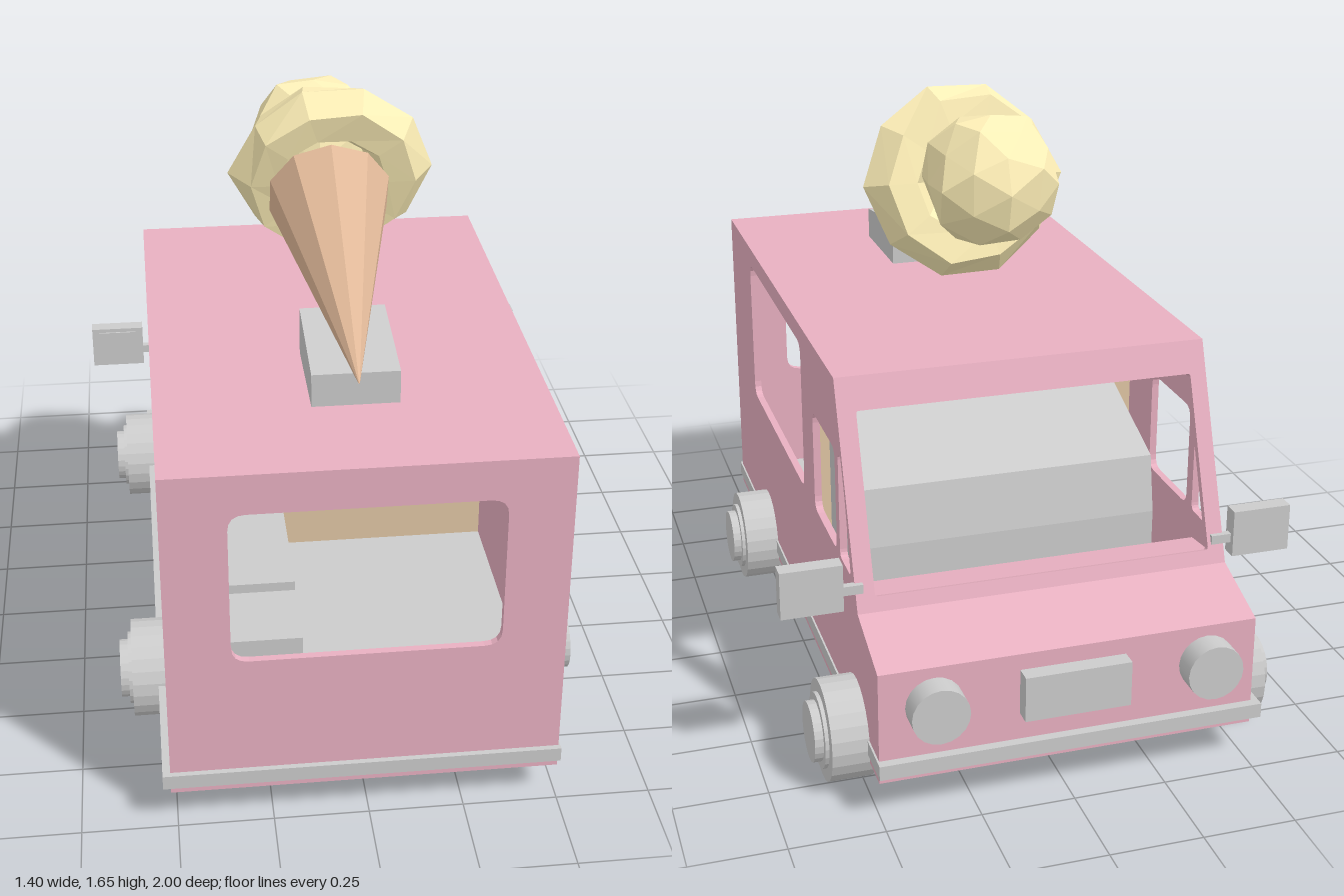
import * as THREE from 'three';

const mat = (color, extra = {}) => new THREE.MeshStandardMaterial({ color, ...extra });
const grey = mat(0xcccccc);
const pink = mat(0xe8b0c1);
const tan = mat(0xe0c6a4);
const wafer = mat(0xe0b898, { flatShading: true, side: THREE.DoubleSide });
const cream = mat(0xfff0b8, { flatShading: true });

const T = 0.02; // wall thickness
const XL = -0.515, XR = 0.5; // body sides

// body outline as [z, y], from the rear bottom over the roof to the nose
const PROFILE = [[0.985, 0.1], [0.985, 1.04], [-0.52, 1.04], [-0.735, 0.475], [-0.935, 0.41], [-0.935, 0.1]];

export function createModel() {
  const root = new THREE.Group();

  const add = (name, geo, material, parent = root) => {
    const m = new THREE.Mesh(geo, material);
    m.name = name;
    parent.add(m);
    return m;
  };
  // box from its min and max limits
  const box = (name, [x0, x1], [y0, y1], [z0, z1], material = grey) =>
    add(name, new THREE.BoxGeometry(x1 - x0, y1 - y0, z1 - z0)
      .translate((x0 + x1) / 2, (y0 + y1) / 2, (z0 + z1) / 2), material);

  // polygon with rounded corners
  const rounded = (pts, r, Kind = THREE.Path) => {
    const p = new Kind();
    const v = pts.map(([x, y]) => new THREE.Vector2(x, y));
    v.forEach((c, i) => {
      const toward = (o) => c.clone().add(o.clone().sub(c).setLength(r));
      const a = toward(v[(i + v.length - 1) % v.length]);
      const b = toward(v[(i + 1) % v.length]);
      if (i) p.lineTo(a.x, a.y); else p.moveTo(a.x, a.y);
      p.quadraticCurveTo(c.x, c.y, b.x, b.y);
    });
    p.closePath();
    return p;
  };
  const rect = (x0, y0, x1, y1) => [[x0, y0], [x1, y0], [x1, y1], [x0, y1]];
  const polygon = (pts) => new THREE.Shape(pts.map(([x, y]) => new THREE.Vector2(x, y)));
  const extrude = (shape, depth) =>
    new THREE.ExtrudeGeometry(shape, { depth, bevelEnabled: false, curveSegments: 4 });
  // prism along x from a [z, y] outline
  const prism = (name, pts, x0, x1, material, holes = []) => {
    const shape = polygon(pts.map(([z, y]) => [-z, y]));
    shape.holes.push(...holes);
    return add(name, extrude(shape, x1 - x0).rotateY(Math.PI / 2).translate(x0, 0, 0), material);
  };

  // side walls with cab windows; the serving window is on one side only
  const cabHoles = () => [
    rounded(rect(0.24, 0.55, 0.51, 0.84), 0.035),
    rounded([[0.547, 0.55], [0.667, 0.55], [0.59, 0.845], [0.547, 0.845]], 0.02),
  ];
  prism('leftWall', PROFILE, XR - T, XR, pink,
    [...cabHoles(), rounded(rect(-0.66, 0.55, 0.1, 0.985), 0.04)]);
  prism('rightWall', PROFILE, XL, XL + T, pink, cabHoles());

  // panels that run round the outline, each between two profile points
  const panel = (name, i, hole) => {
    const [z0, y0] = PROFILE[i], [z1, y1] = PROFILE[(i + 1) % PROFILE.length];
    const dir = new THREE.Vector3(0, y1 - y0, z1 - z0);
    const len = dir.length();
    dir.normalize();
    const ax = new THREE.Vector3(1, 0, 0);
    const out = ax.clone().cross(dir);
    const shape = polygon(rect(XL + 0.001, 0, XR - 0.001, len));
    if (hole) shape.holes.push(hole);
    const m = new THREE.Matrix4().makeBasis(ax, dir, out).setPosition(0, y0, z0);
    add(name, extrude(shape, T).translate(0, 0, -T).applyMatrix4(m), pink);
  };
  panel('rearWall', 0, rounded(rect(-0.35, 0.4, 0.335, 0.83), 0.045));
  panel('roof', 1);
  panel('windshieldFrame', 2, rounded(rect(-0.47, 0.09, 0.45, 0.565), 0.008));
  panel('hood', 3);
  panel('nose', 4);
  panel('underside', 5);

  // bumper strip all the way round
  box('bumperStrip', [-0.535, 0.505], [0.125, 0.165], [-0.96, 1.0]);

  // interior
  prism('dashboard', [[-0.72, 0.17], [-0.72, 0.49], [-0.56, 0.47], [-0.56, 0.17]].reverse(),
    XL + T, XR - T, pink);
  box('partition', [XL + T, XR - T], [0.15, 0.8], [-0.07, -0.055], tan);
  prism('seatBench', [[-0.08, 0.15], [-0.08, 0.78], [-0.24, 0.72], [-0.4, 0.66], [-0.43, 0.5], [-0.43, 0.15]],
    -0.43, 0.42, grey);
  box('longCounter', [-0.495, -0.16], [0.085, 0.508], [0.03, 0.66]);
  box('shortCounter', [-0.495, -0.16], [0.085, 0.485], [0.665, 0.88]);
  box('upperCabinet', [-0.495, -0.36], [0.83, 1.0], [0.45, 0.69], tan);
  box('upperCabinet', [-0.495, -0.36], [0.83, 1.0], [0.18, 0.42], tan);

  // wheels: a lathe of tyre, rim recess and hub, with its axis along x
  const wheelProfile = [[0, -0.02], [0.135, -0.02], [0.135, 0.095], [0.1, 0.095], [0.1, 0.105],
    [0.08, 0.105], [0.08, 0.128], [0, 0.128]];
  const wheelPts = wheelProfile.slice(0, -1).flatMap((p, i) => [p, wheelProfile[i + 1]])
    .map(([r, y]) => new THREE.Vector2(r, y));
  const wheelGeo = new THREE.LatheGeometry(wheelPts, 24).toNonIndexed();
  wheelGeo.computeVertexNormals();
  for (const s of [1, -1]) {
    for (const [name, z] of [['rearWheel', 0.49], ['frontWheel', -0.705]]) {
      const w = add(name, wheelGeo, grey);
      w.rotation.z = -s * Math.PI / 2;
      w.position.set(s > 0 ? 0.503 : -0.51, 0.137, z);
    }
    // wing mirror on its arm
    const span = (a, b) => (s > 0 ? [a, b] : [-b, -a]);
    box('mirrorArm', span(0.48, 0.545), [0.525, 0.55], [-0.72, -0.7]);
    box('mirrorHousing', span(0.535, 0.698), [0.49, 0.62], [-0.735, -0.69]);
    box('mirrorGlass', span(0.557, 0.676), [0.505, 0.608], [-0.7, -0.685]);
    // headlight
    add('headlight', new THREE.CylinderGeometry(0.076, 0.076, 0.08, 20).rotateX(Math.PI / 2)
      .translate(s > 0 ? 0.355 : -0.38, 0.305, -0.96), grey);
  }
  box('grillePlate', [-0.155, 0.13], [0.24, 0.365], [-0.98, -0.92]);

  // roof stand with a sloping top
  prism('coneStand', [[0.67, 1.03], [0.67, 1.13], [0.365, 1.17], [0.365, 1.03]], -0.115, 0.112, grey);

  // ice cream lying on the roof; its local +y runs from the tip to the scoop
  const ice = new THREE.Group();
  ice.name = 'iceCream';
  ice.position.set(0, 1.125, 0.715);
  ice.rotation.x = -Math.PI / 2 + 0.33;
  root.add(ice);
  add('waferCone', new THREE.CylinderGeometry(0.172, 0.002, 0.72, 10, 1, true).translate(0, 0.36, 0), wafer, ice);

  // push vertices about by a smooth rule so the ice cream looks lumpy
  const lumpy = (geo, amount) => {
    const p = geo.attributes.position, v = new THREE.Vector3();
    for (let i = 0; i < p.count; i++) {
      v.fromBufferAttribute(p, i);
      const k = 1 + amount * Math.sin(v.x * 23 + 1) * Math.cos(v.y * 19 + v.z * 27);
      p.setXYZ(i, v.x * k, v.y * k, v.z * k);
    }
    geo.computeVertexNormals();
    return geo;
  };
  const collar = add('creamCollar', lumpy(new THREE.TorusGeometry(0.19, 0.083, 6, 10), 0.06), cream);
  collar.position.set(0.012, 1.4, -0.045);
  collar.rotation.x = 0.26;
  const scoop = add('creamScoop', lumpy(new THREE.IcosahedronGeometry(0.185, 1), 0.06), cream);
  scoop.position.set(-0.02, 1.435, -0.19);

  return root;
}
